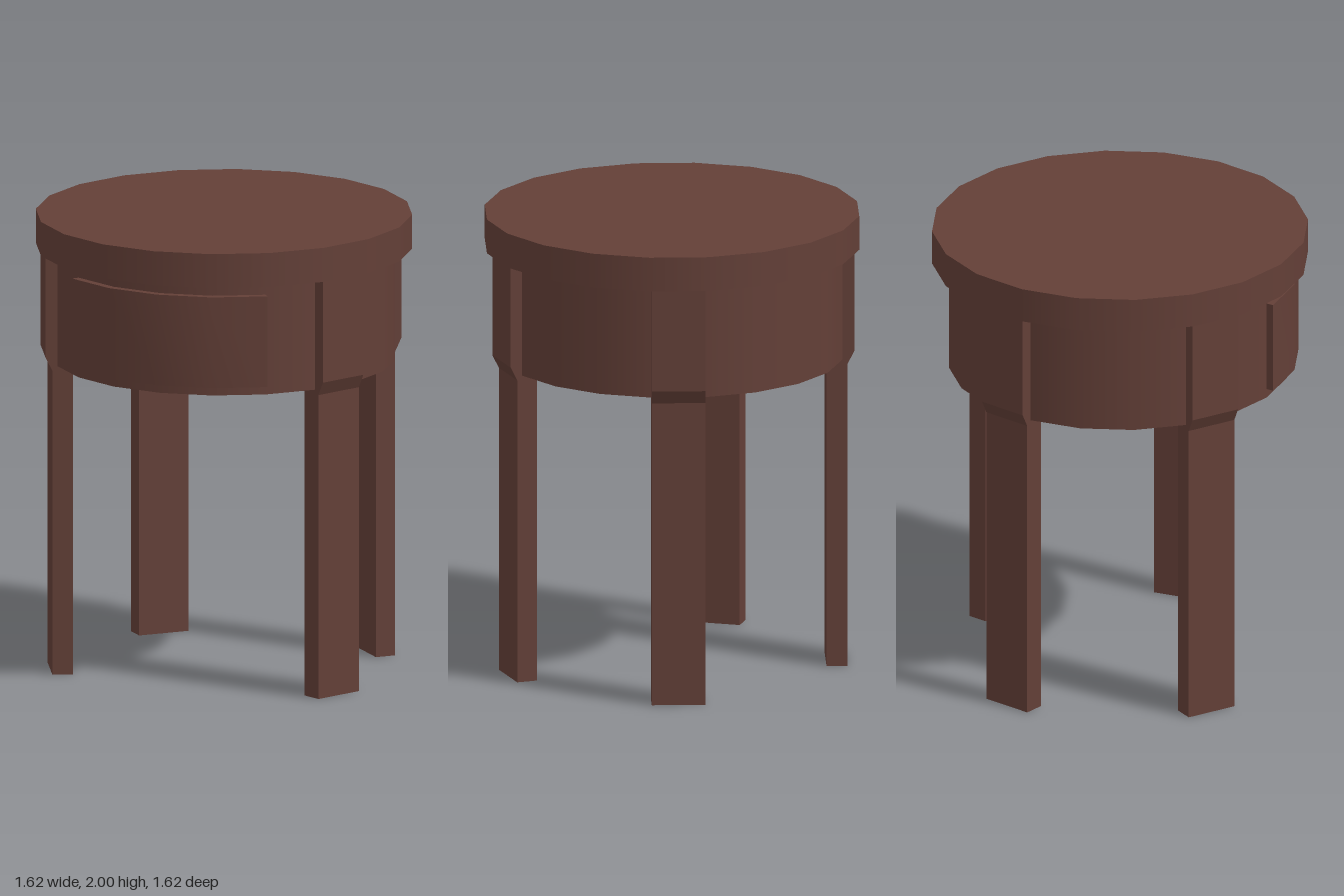
import * as THREE from 'three';
import { toCreasedNormals } from 'three/addons/utils/BufferGeometryUtils.js';

const SIDES = 20;
const rad = THREE.MathUtils.degToRad;

export function createModel() {
  const model = new THREE.Group();
  model.name = 'roundSideTable';
  const wood = new THREE.MeshStandardMaterial({ color: 0x633f37 });

  const add = (name, geometry) => {
    const mesh = new THREE.Mesh(geometry, wood);
    mesh.name = name;
    model.add(mesh);
    return mesh;
  };

  // Round top and the drum below it
  const disc = (radius, bottom, top) =>
    new THREE.CylinderGeometry(radius, radius, top - bottom, SIDES).translate(0, (bottom + top) / 2, 0);
  add('tableTop', disc(0.81, 1.85, 2));
  add('drum', disc(0.737, 1.36, 1.85));

  // Curved drawer front, four facets wide, following the drum
  const arc = new THREE.Shape();
  arc.absarc(0, 0, 0.77, rad(-126), rad(-54), false);
  arc.absarc(0, 0, 0.735, rad(-54), rad(-126), true);
  arc.closePath();
  const drawer = new THREE.ExtrudeGeometry(arc, { depth: 0.4, curveSegments: 2, bevelEnabled: false });
  drawer.rotateX(-Math.PI / 2).translate(0, 1.4, 0);
  add('drawerFront', toCreasedNormals(drawer, rad(30)));

  // Legs: a side profile (radius, height) that steps outward beside the drum
  const profile = new THREE.Shape([
    [0.66, 0], [0.75, 0], [0.75, 1.34], [0.78, 1.4], [0.78, 1.85], [0.66, 1.85],
  ].map(([r, y]) => new THREE.Vector2(r, y)));
  const width = 0.23;
  const leg = new THREE.ExtrudeGeometry(profile, { depth: width, bevelEnabled: false });
  leg.translate(0, 0, -width / 2);

  // Angles run from +x towards the front
  const legAngles = { frontLeftLeg: 27, frontRightLeg: 153, backRightLeg: 225, backLeftLeg: 315 };
  for (const [name, angle] of Object.entries(legAngles)) {
    add(name, leg).rotation.y = -rad(angle);
  }

  return model;
}
